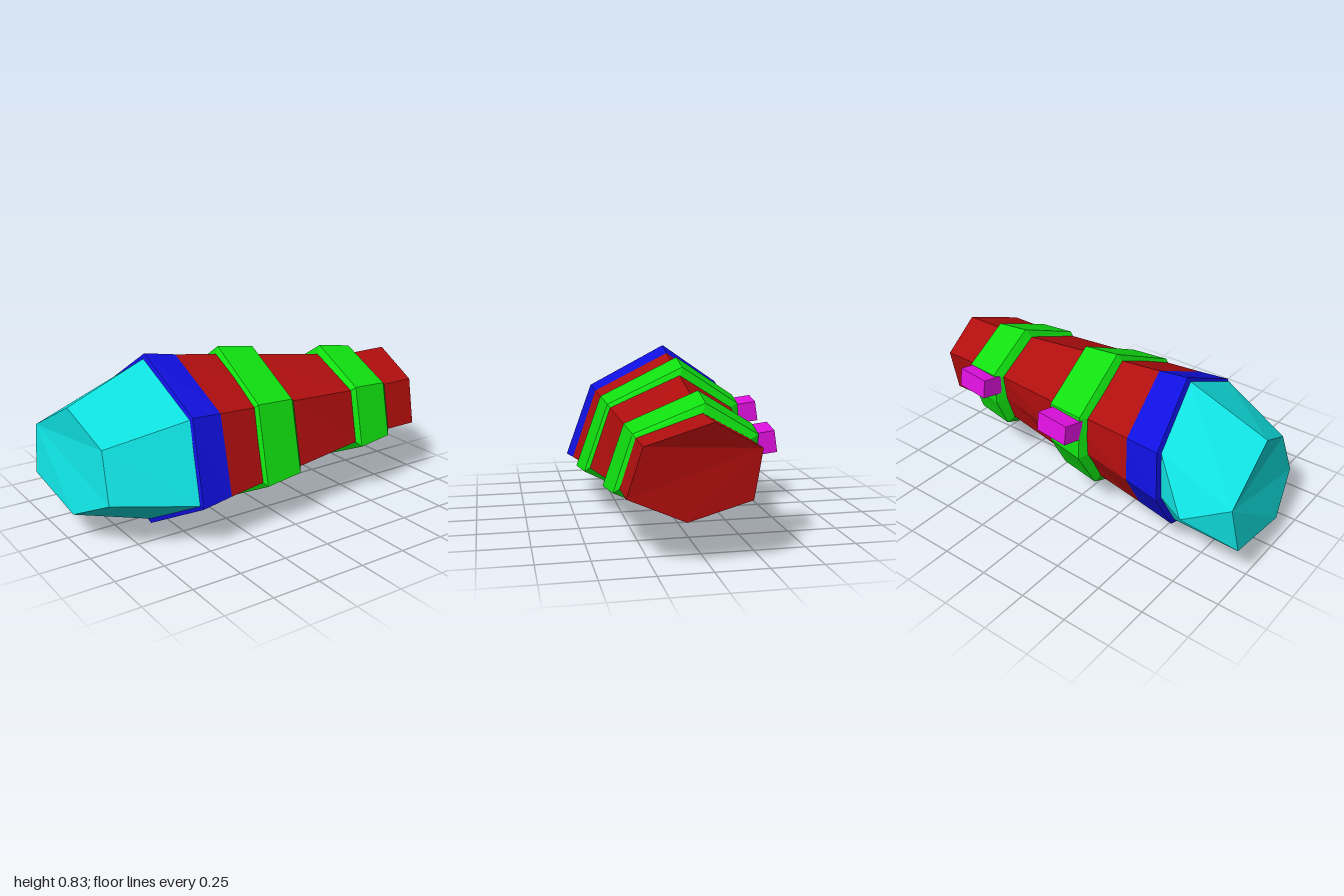
import * as THREE from 'three';

const { lerp } = THREE.MathUtils;

// Corners as [z, y]: top, front top, front bottom, bottom, back bottom, back, back top
const BIG = [[-0.075, 0.83], [0.345, 0.615], [0.485, 0.215], [0.085, 0], [-0.32, 0.16], [-0.44, 0.37], [-0.4, 0.605]];
const SMALL = [[0, 0.65], [0.295, 0.545], [0.365, 0.315], [0.105, 0.205], [-0.185, 0.295], [-0.203, 0.41], [-0.22, 0.525]];

// Tilted section at x; t blends from the big outline to the small one
function section(x, t, a = 0.07, b = -0.03) {
  return BIG.map(([z0, y0], i) => {
    const z = lerp(z0, SMALL[i][0], t), y = lerp(y0, SMALL[i][1], t);
    return [x + a * (y - 0.42) + b * z, y, z];
  });
}

// Skin over sections ordered from -x to +x, with optional flat end caps
function loft(name, color, loops, capStart, capEnd) {
  const pos = [], n = 7;
  const tri = (...p) => p.forEach(v => pos.push(...v));
  for (let k = 0; k + 1 < loops.length; k++) {
    const a = loops[k], b = loops[k + 1];
    for (let i = 0; i < n; i++) {
      const j = (i + 1) % n;
      tri(a[i], a[j], b[j]);
      tri(a[i], b[j], b[i]);
    }
  }
  for (let i = 0; i < n - 2; i++) {
    const s = loops[0], e = loops[loops.length - 1];
    if (capStart) tri(s[6], s[i + 1], s[i]);
    if (capEnd) tri(e[6], e[i], e[i + 1]);
  }
  const g = new THREE.BufferGeometry();
  g.setAttribute('position', new THREE.Float32BufferAttribute(pos, 3));
  g.computeVertexNormals();
  return part(name, color, g);
}

function part(name, color, geometry) {
  const m = new THREE.Mesh(geometry, new THREE.MeshStandardMaterial({ color, flatShading: true }));
  m.name = name;
  return m;
}

export function createModel() {
  const group = new THREE.Group();
  const RED = 0xb00e0e, BLUE = 0x1010e0, GREEN = 0x10e010, TEAL = 0x10e0e0, MAGENTA = 0xe010e0;

  // Tapering body with a slanted end
  const endX = [0.99, 0.93, 0.905, 0.93, 0.95, 0.955, 0.96];
  const end = SMALL.map(([z, y], i) => [endX[i], y, z]);
  group.add(loft('body', RED, [
    section(-0.37, 0.16, 0.08, 0.06), section(0.1, 0.52), section(0.5, 0.84), section(0.75, 1), end,
  ], false, true));

  // Wide band with a bevelled rim
  group.add(loft('wideBand', BLUE, [
    section(-0.56, 0.2, 0.115, 0.1), section(-0.55, 0, 0.115, 0.1), section(-0.37, 0.16, 0.08, 0.06),
  ], true, false));

  // Two raised rings
  group.add(loft('largeRing', GREEN, [
    section(-0.14, 0.36), section(-0.12, 0.14), section(0.09, 0.3), section(0.108, 0.53),
  ]));
  group.add(loft('smallRing', GREEN, [
    section(0.505, 0.85, 0.07, -0.05), section(0.53, 0.61, 0.07, -0.05),
    section(0.73, 0.77, 0.07, -0.05), section(0.75, 1, 0.07, -0.05),
  ]));

  // Faceted nose, bulging at the back
  const nose = [
    [-0.94, 0.64, -0.05], [-0.895, 0.5, 0.21], [-0.915, 0.26, 0.3], [-0.985, 0.14, 0.05],
    [-1, 0.22, -0.355], [-0.76, 0.37, -0.485], [-0.97, 0.46, -0.39],
  ];
  group.add(loft('nose', TEAL, [nose, section(-0.56, 0.13, 0.115, 0.1)], true, false));

  // Small lugs on the back of the rings
  for (const [name, x, y, z] of [['largeLug', 0, 0.53, -0.405], ['smallLug', 0.64, 0.5, -0.3]]) {
    const lug = part(name, MAGENTA, new THREE.BoxGeometry(0.2, 0.1, 0.12));
    lug.position.set(x, y, z);
    lug.rotation.set(0.15, -0.14, 0);
    group.add(lug);
  }
  return group;
}
